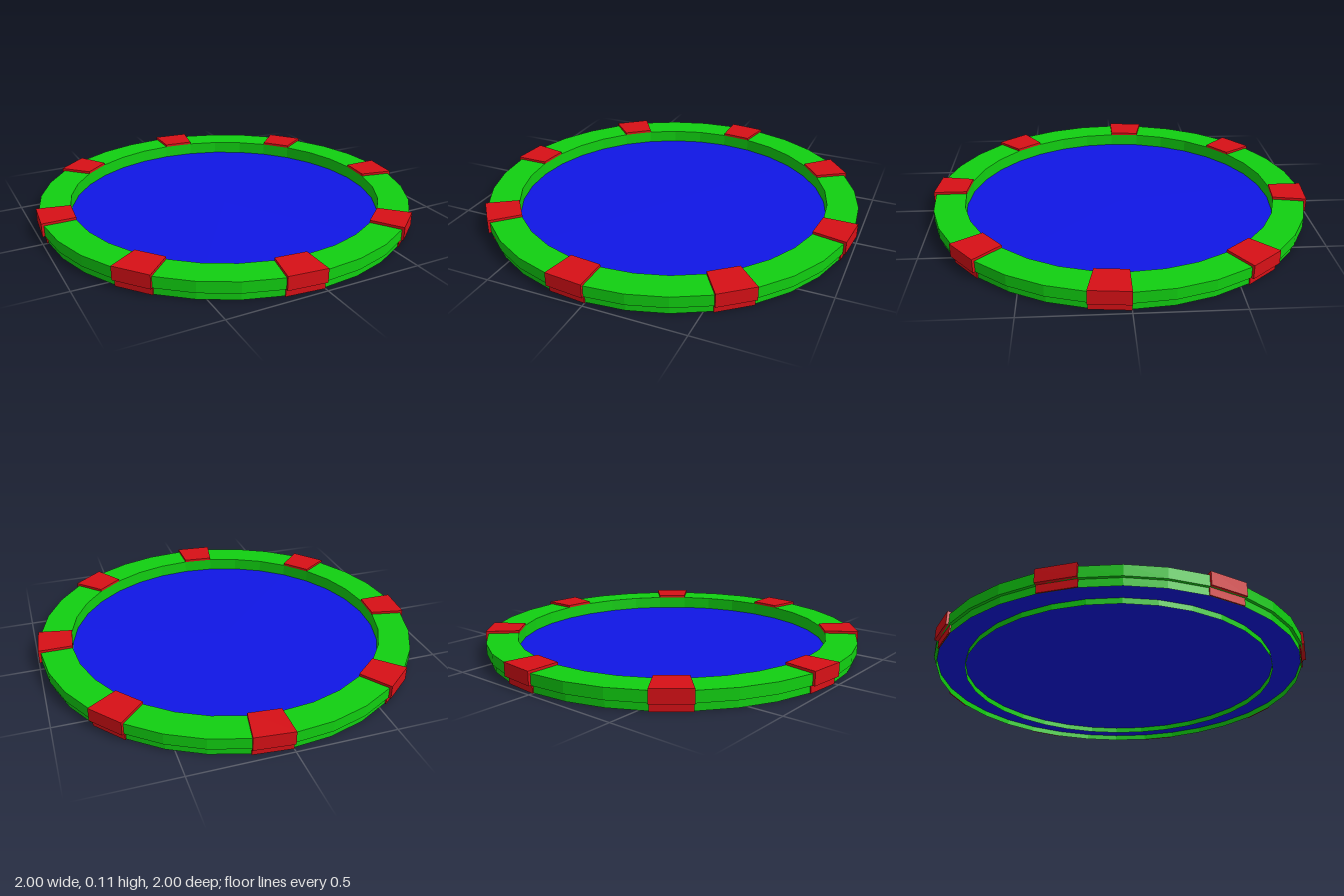
import * as THREE from 'three';

const SIDES = 32;
const STEP = (Math.PI * 2) / SIDES;

const material = (color) =>
  new THREE.MeshStandardMaterial({ color, flatShading: true, side: THREE.DoubleSide });
const points = (list) => list.map(([x, y]) => new THREE.Vector2(x, y));

export function createModel() {
  const model = new THREE.Group();
  const green = material(0x11d011);
  const red = material(0xd81016);
  const blue = material(0x1016e6);

  const add = (parent, name, geometry, mat) => {
    const mesh = new THREE.Mesh(geometry, mat);
    mesh.name = name;
    parent.add(mesh);
    return mesh;
  };

  // Stepped rim, hollow underneath
  const rimProfile = points([
    [0.97, 0], [0.97, 0.04], [0.985, 0.04], [0.985, 0.097], [0.824, 0.097], [0.824, 0],
  ]);
  add(model, 'rim', new THREE.LatheGeometry(rimProfile, SIDES), green);

  // Thin floor reaching the outer wall
  const floor = new THREE.CircleGeometry(0.969, SIDES).rotateX(-Math.PI / 2);
  add(model, 'floor', floor, blue).position.y = 0.03;

  // Eight raised clamps, each covering one side of the rim
  const clampProfile = points([
    [0.972, 0], [0.978, 0], [0.978, 0.04], [0.998, 0.04], [0.998, 0.11], [0.823, 0.11], [0.823, 0.097],
    [0.972, 0.097],
  ]);
  const shell = new THREE.LatheGeometry([...clampProfile, clampProfile[0]], 1, Math.PI / 2 - STEP, STEP);
  const end = new THREE.ShapeGeometry(new THREE.Shape(clampProfile));
  for (let i = 0; i < 8; i++) {
    const clamp = new THREE.Group();
    clamp.name = 'clamp';
    clamp.rotation.y = (i * Math.PI) / 4;
    add(clamp, 'clampBody', shell, red);
    add(clamp, 'clampEnd', end, red);
    add(clamp, 'clampEnd', end, red).rotation.y = -STEP;
    model.add(clamp);
  }

  return model;
}
